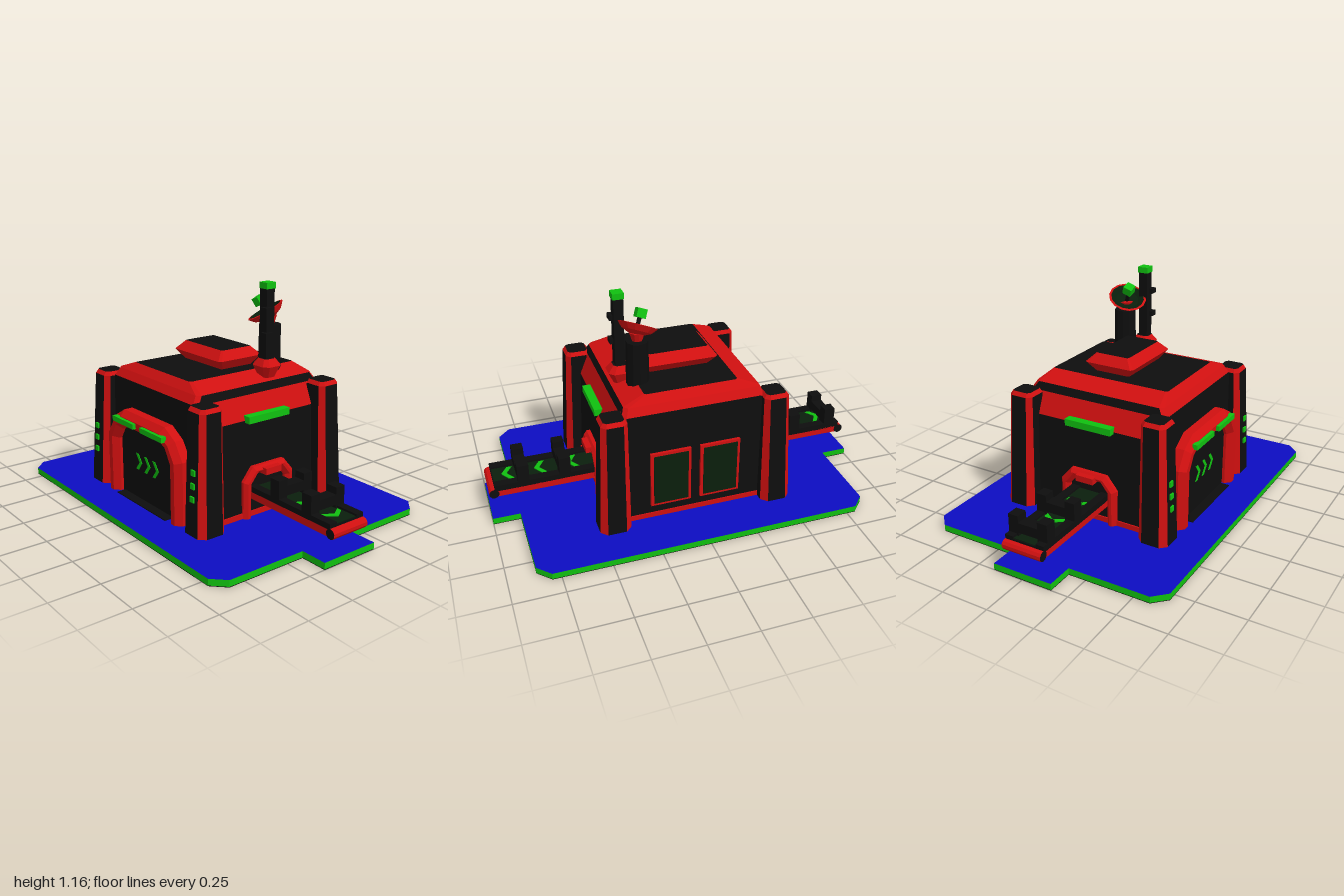
import * as THREE from 'three';

const mat = (name, color) => {
  const m = new THREE.MeshStandardMaterial({ color });
  m.name = name;
  return m;
};

export function createModel() {
  const red = mat('red trim', 0xd01010), black = mat('black panel', 0x0e0e0e);
  const green = mat('green light', 0x10c010), blue = mat('blue floor', 0x0c0cc2);
  const glass = mat('dark green glass', 0x0a1f0c);
  const palette = [black, red];
  const model = new THREE.Group();
  model.name = 'outpost';

  const add = (name, geo, material, x = 0, y = 0, z = 0, parent = model) => {
    const mesh = new THREE.Mesh(geo, material);
    mesh.name = name;
    mesh.position.set(x, y, z);
    parent.add(mesh);
    return mesh;
  };
  // box given by its limits on each axis
  const box = (name, m, x0, x1, y0, y1, z0, z1, parent = model) =>
    add(name, new THREE.BoxGeometry(x1 - x0, y1 - y0, z1 - z0), m,
      (x0 + x1) / 2, (y0 + y1) / 2, (z0 + z1) / 2, parent);
  const faceted = (geo) => {
    const g = geo.index ? geo.toNonIndexed() : geo;
    g.computeVertexNormals();
    return g;
  };
  // chamfered rectangle at height y
  const ring = (y, hx, hz, c, cx = 0, cz = 0) =>
    [[hx, hz - c], [hx, c - hz], [hx - c, -hz], [c - hx, -hz],
      [-hx, c - hz], [-hx, hz - c], [c - hx, hz], [hx - c, hz]].map(([x, z]) => [cx + x, y, cz + z]);
  // skin over stacked rings; colourOf(level, side) picks a palette index, the top is black
  const loft = (rings, colourOf) => {
    const pos = [], geo = new THREE.BufferGeometry();
    const tri = (index, ...pts) => {
      geo.addGroup(pos.length / 3, pts.length, index);
      pts.forEach((p) => pos.push(...p));
    };
    for (let l = 0; l < rings.length - 1; l++) {
      for (let i = 0; i < 8; i++) {
        const j = (i + 1) % 8, a = rings[l], b = rings[l + 1];
        tri(colourOf(l, i), a[i], a[j], b[j], a[i], b[j], b[i]);
      }
    }
    const top = rings[rings.length - 1], bottom = rings[0];
    for (let i = 1; i < 7; i++) {
      tri(0, top[0], top[i], top[i + 1]);
      tri(0, bottom[0], bottom[i + 1], bottom[i]);
    }
    geo.setAttribute('position', new THREE.Float32BufferAttribute(pos, 3));
    geo.computeVertexNormals();
    return geo;
  };
  const polygon = (pts) => new THREE.Shape(pts.map(([x, y]) => new THREE.Vector2(x, y)));
  const mirrored = (half) => [...half, ...half.map(([x, y]) => [-x, y]).reverse()];
  // bevelled archway from half outlines
  const archGeo = (outer, inner, depth, bevel) => new THREE.ExtrudeGeometry(
    polygon([...mirrored(outer), ...mirrored(inner).reverse()]),
    { depth: depth - 2 * bevel, bevelSize: bevel, bevelThickness: bevel, bevelOffset: -bevel, bevelSegments: 1 });
  // thin arrow mark pointing +x
  const chevronGeo = (w, h, t) => new THREE.ExtrudeGeometry(
    polygon([[-w, -h], [t - w, -h], [w, 0], [t - w, h], [-w, h], [w - t, 0]]),
    { depth: 0.006, bevelEnabled: false });

  // floor slab with side tabs
  const quarter = [[1, 0.16], [0.86, 0.16], [0.86, 0.585], [0.795, 0.65]];
  const upper = mirrored(quarter);
  const slab = polygon([...upper, ...upper.map(([x, y]) => [x, -y]).reverse()]);
  const slabGeo = (depth) => new THREE.ExtrudeGeometry(slab, { depth, bevelEnabled: false }).rotateX(-Math.PI / 2);
  add('floor', slabGeo(0.032), [blue, green], 0, 0.003);
  add('underside', slabGeo(0.003), black);

  // main hall with banded roof edges
  add('hall', loft([
    ring(0.035, 0.43, 0.395, 0.02), ring(0.53, 0.41, 0.392, 0.02), ring(0.64, 0.365, 0.39, 0.02),
    ring(0.68, 0.35, 0.365, 0.02), ring(0.72, 0.24, 0.33, 0.01),
  ], (l, i) => (i % 2 ? 1 : i % 4 === 0 ? [0, 1, 0, 1][l] : [0, 0, 1, 1][l])), palette);
  box('plinth', red, -0.436, 0.436, 0.035, 0.062, -0.4, 0.4);

  // corner pillars with red chamfers
  for (const sx of [-1, 1]) for (const sz of [-1, 1]) {
    add('pillar', loft([
      ring(0.035, 0.08, 0.08, 0.032, sx * 0.43, sz * 0.39),
      ring(0.635, 0.066, 0.066, 0.024, sx * 0.415, sz * 0.375),
      ring(0.655, 0.052, 0.052, 0.014, sx * 0.415, sz * 0.375),
    ], (l, i) => (l ? 1 : i % 2)), palette);
    if (sz > 0) for (const y of [0.22, 0.285, 0.35]) {
      const z = 0.47 - (y - 0.035) * 0.048;
      box('pillarLight', green, sx * 0.432 - 0.014, sx * 0.432 + 0.014, y - 0.014, y + 0.014, z - 0.012, z + 0.008);
    }
  }

  // front gateway and door
  add('gateway', archGeo(
    [[0.325, 0.005], [0.325, 0.36], [0.265, 0.45], [0.18, 0.5]],
    [[0.235, 0.005], [0.235, 0.33], [0.2, 0.39], [0.15, 0.412]], 0.13, 0.03), red, 0, 0, 0.37);
  box('door', black, -0.25, 0.25, 0.035, 0.425, 0.37, 0.425);
  box('threshold', black, -0.22, 0.22, 0.035, 0.04, 0.42, 0.475);
  for (const x of [-0.075, 0, 0.075]) add('doorArrow', chevronGeo(0.027, 0.043, 0.022), green, x, 0.24, 0.422);
  for (const s of [-1, 1]) box('gatewayLight', green, s * 0.125 - 0.095, s * 0.125 + 0.095, 0.44, 0.467, 0.46, 0.488);

  // rear windows
  for (const s of [-1, 1]) {
    const x = s * 0.13;
    box('windowFrame', red, x - 0.105, x + 0.105, 0.11, 0.42, -0.408, -0.385);
    box('windowPane', glass, x - 0.09, x + 0.09, 0.125, 0.405, -0.413, -0.404);
  }

  // side archways and conveyors
  const gates = { 1: [0.605, 0.82], '-1': [-0.91, -0.695] };
  const arrows = { 1: [0.55, 0.72, 0.89], '-1': [-0.565, -0.745, -0.87] };
  for (const s of [-1, 1]) {
    const span = (a, b) => [Math.min(s * a, s * b), Math.max(s * a, s * b)];
    const arch = add('sideArch', archGeo(
      [[0.16, 0.005], [0.16, 0.225], [0.1, 0.295]],
      [[0.11, 0.005], [0.11, 0.205], [0.07, 0.255]], 0.1, 0.018), red, s * 0.375);
    arch.rotation.y = s * Math.PI / 2;
    box('keystone', red, ...span(0.4, 0.48), 0.252, 0.285, -0.05, 0.05);
    box('sideLight', green, ...span(0.39, 0.442), 0.52, 0.555, -0.13, 0.13);

    const conveyor = new THREE.Group();
    conveyor.name = 'conveyor';
    model.add(conveyor);
    box('conveyorRail', red, ...span(0.4, 0.97), 0.128, 0.165, -0.106, 0.106, conveyor);
    box('conveyorBed', black, ...span(0.4, 0.97), 0.16, 0.18, -0.106, 0.106, conveyor);
    for (const z of [-0.085, 0.085]) box('conveyorEdge', black, ...span(0.4, 0.97), 0.165, 0.193, z - 0.022, z + 0.022, conveyor);
    box('belt', glass, ...span(0.42, 0.965), 0.176, 0.183, -0.063, 0.063, conveyor);
    const roller = add('roller', faceted(new THREE.CylinderGeometry(0.026, 0.026, 0.214, 10)), [red, black, black], s * 0.974, 0.146, 0, conveyor);
    roller.rotation.x = Math.PI / 2;
    for (const x of gates[s]) {
      for (const z of [-0.08, 0.08]) box('gatePost', black, x - 0.03, x + 0.03, 0.165, 0.285, z - 0.027, z + 0.027, conveyor);
      box('gateBar', black, x - 0.03, x + 0.03, 0.2, 0.25, -0.06, 0.06, conveyor);
    }
    for (const x of arrows[s]) {
      const arrow = add('beltArrow', chevronGeo(0.03, 0.052, 0.026).rotateX(-Math.PI / 2), green, x, 0.181, 0, conveyor);
      arrow.rotation.y = s > 0 ? 0 : Math.PI;
    }
  }

  // roof hatch
  add('roofHatch', loft([
    ring(0.715, 0.155, 0.095, 0.008, -0.005, -0.027), ring(0.77, 0.195, 0.138, 0.012, -0.005, -0.027),
    ring(0.815, 0.155, 0.093, 0.008, -0.005, -0.027),
  ], () => 1), palette);

  // dish tower
  add('tower', faceted(new THREE.CylinderGeometry(0.055, 0.058, 0.25, 10)), black, 0.228, 0.81, -0.18);
  add('dishNeck', faceted(new THREE.CylinderGeometry(0.04, 0.025, 0.05, 10)), red, 0.225, 0.955, -0.175);
  const dish = new THREE.Group();
  dish.name = 'dish';
  dish.position.set(0.215, 1.005, -0.158);
  dish.quaternion.setFromUnitVectors(new THREE.Vector3(0, 1, 0), new THREE.Vector3(-0.42, 1, 0.42).normalize());
  model.add(dish);
  const lathe = (pts) => faceted(new THREE.LatheGeometry(pts.map(([x, y]) => new THREE.Vector2(x, y)), 14));
  add('dishShell', lathe([[0, -0.05], [0.035, -0.046], [0.075, -0.028], [0.1, 0], [0.088, 0.002]]), red, 0, 0, 0, dish);
  add('dishBowl', lathe([[0.088, 0.002], [0.06, -0.018], [0, -0.03]]), glass, 0, 0, 0, dish);
  box('feedRod', black, -0.008, 0.008, -0.03, 0.05, -0.008, 0.008, dish);
  box('feedHorn', green, -0.024, 0.024, 0.035, 0.08, -0.024, 0.024, dish);

  // antenna mast
  add('mastFoot', loft([
    ring(0.69, 0.035, 0.035, 0.015, 0.298, -0.1), ring(0.75, 0.063, 0.058, 0.025, 0.298, -0.1),
    ring(0.785, 0.035, 0.035, 0.015, 0.298, -0.1),
  ], () => 1), palette);
  box('mast', black, 0.273, 0.323, 0.72, 1.135, -0.122, -0.072);
  box('mastLight', green, 0.27, 0.327, 1.132, 1.163, -0.126, -0.069);
  for (const y of [0.905, 1.03]) box('mastBracket', black, 0.3, 0.34, y - 0.013, y + 0.013, -0.1, -0.055);

  return model;
}
